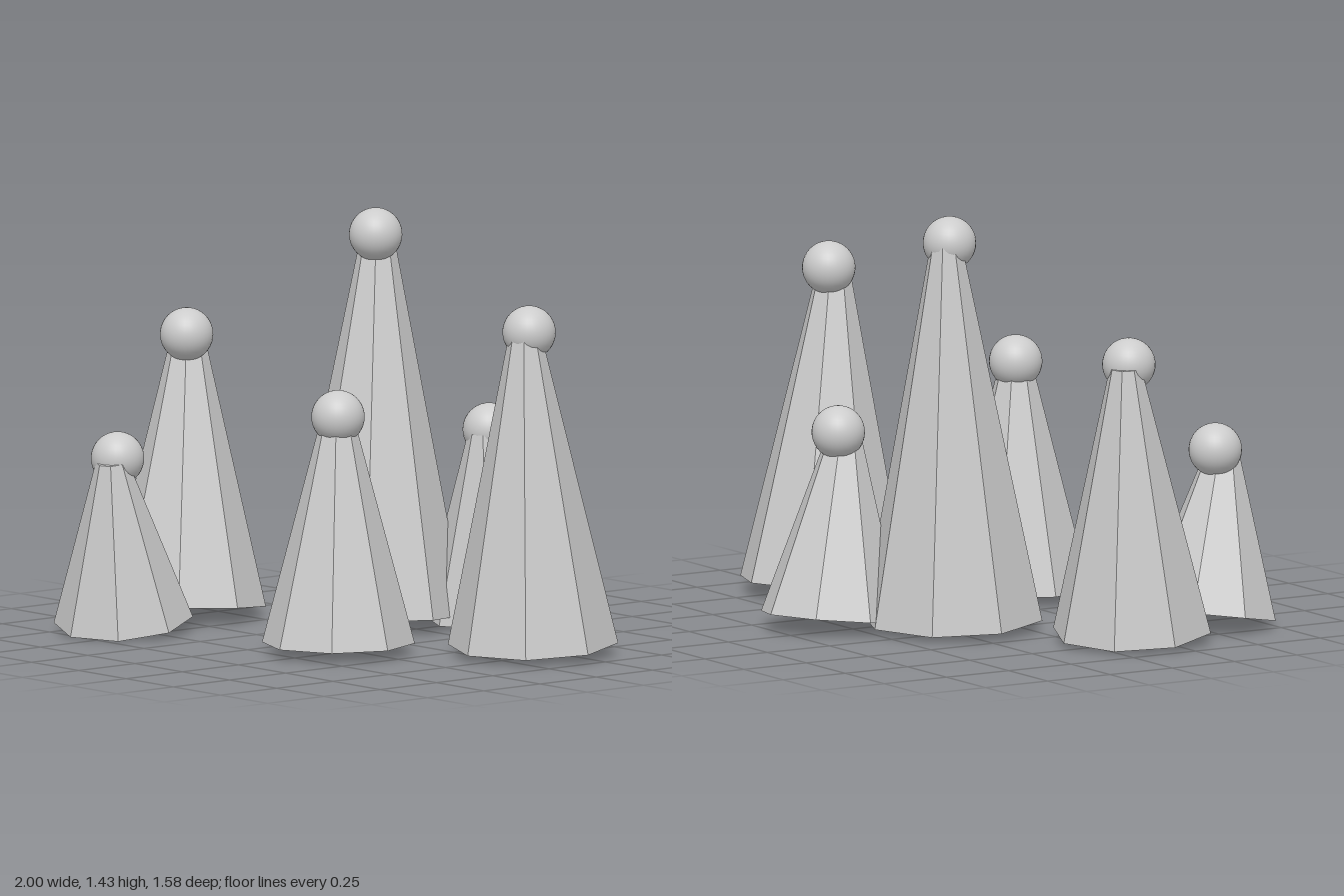
import * as THREE from 'three';

// x, z: middle of the cone; y: ball height; r: base radius; dx, dz: lean of the tip from the middle
const CONES = [
  { x: -0.198, z: -0.236, y: 1.345, r: 0.313, dx: -0.024, dz: -0.028 },
  { x: 0.722, z: -0.145, y: 1.12, r: 0.291, dx: 0.0135, dz: 0.029 },
  { x: -0.759, z: 0.133, y: 0.973, r: 0.275, dx: -0.035, dz: -0.035 },
  { x: 0.261, z: 0.317, y: 0.821, r: 0.261, dx: -0.001, dz: 0.001 },
  { x: 0.073, z: -0.513, y: 0.678, r: 0.247, dx: 0.016, dz: 0.036 },
  { x: -0.572, z: 0.597, y: 0.611, r: 0.238, dx: 0.024, dz: 0.046 },
];
const LIFT = 0.044; // height of the level base
const TIP_RADIUS = 0.055;
const BALL_RADIUS = 0.091;

export function createModel() {
  const model = new THREE.Group();
  model.name = 'coneCluster';
  const grey = new THREE.MeshStandardMaterial({ color: 0xcccccc });
  grey.name = 'light grey';
  const ballGeometry = new THREE.SphereGeometry(BALL_RADIUS, 32, 20);

  for (const c of CONES) {
    const tree = new THREE.Group();
    tree.name = 'tippedCone';
    tree.position.set(c.x, LIFT, c.z);

    // Eight-sided tapered body, tilted about its middle
    const height = c.y - LIFT;
    const half = height / 2;
    const bodyGeometry = new THREE.CylinderGeometry(TIP_RADIUS, c.r, height, 8).toNonIndexed();
    bodyGeometry.computeVertexNormals(); // flat facets
    const body = new THREE.Mesh(bodyGeometry, grey);
    body.name = 'coneBody';
    body.position.y = half;
    body.rotation.set(Math.asin(c.dz / half), 0, -Math.asin(c.dx / half));
    tree.add(body);

    // Round ball on the tip
    const ball = new THREE.Mesh(ballGeometry, grey);
    ball.name = 'tipBall';
    ball.position.y = height;
    tree.add(ball);
    model.add(tree);
  }
  return model;
}
